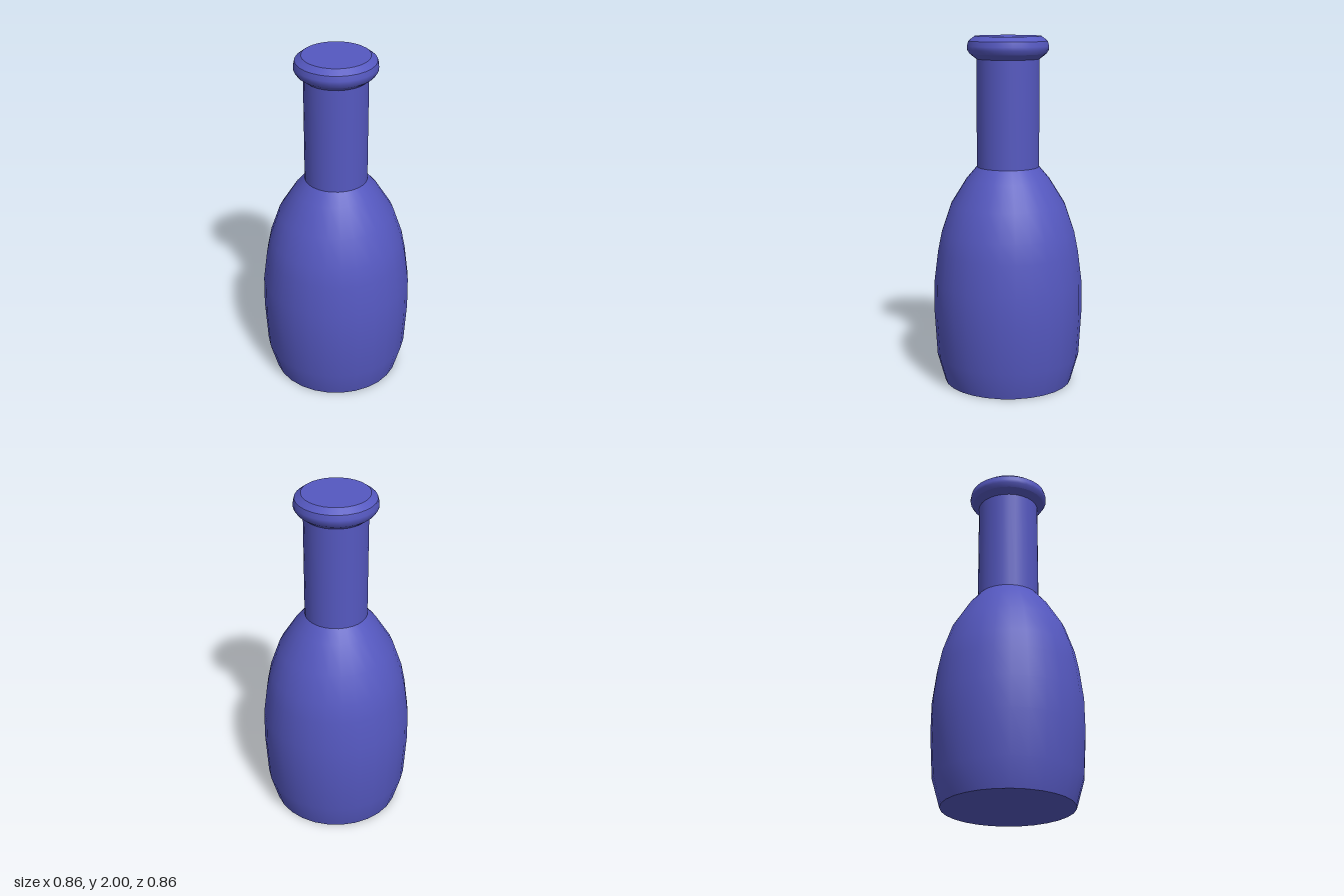
import * as THREE from 'three';

const SEGMENTS = 28;

export function createModel() {
  const group = new THREE.Group();
  group.name = 'bottle';
  const glass = new THREE.MeshStandardMaterial({ color: 0x5558c0 });
  glass.name = 'blue glass';

  // Each turned section is its own mesh, so the edges between them stay sharp
  const turn = (name, profile) => {
    const points = profile.map(([r, y]) => new THREE.Vector2(r, y));
    const mesh = new THREE.Mesh(new THREE.LatheGeometry(points, SEGMENTS), glass);
    mesh.name = name;
    group.add(mesh);
  };

  // Flat underside
  turn('base', [[0, 0], [0.37, 0]]);

  // Swelling body narrowing to the shoulder
  turn('body', [
    [0.37, 0], [0.415, 0.16], [0.43, 0.42], [0.428, 0.6], [0.405, 0.78],
    [0.383, 0.89], [0.328, 1.05], [0.238, 1.195], [0.178, 1.265],
  ]);

  // Straight neck
  turn('neck', [[0.178, 1.265], [0.178, 1.875]]);

  // Rounded lip with a bevel below and above
  turn('lipUnderside', [[0.178, 1.873], [0.215, 1.902]]);
  turn('lipBand', [[0.215, 1.902], [0.23, 1.925], [0.23, 1.945], [0.223, 1.973]]);
  turn('lipBevel', [[0.223, 1.973], [0.188, 2]]);

  // Closed top
  turn('top', [[0.188, 2], [0, 2]]);

  return group;
}
